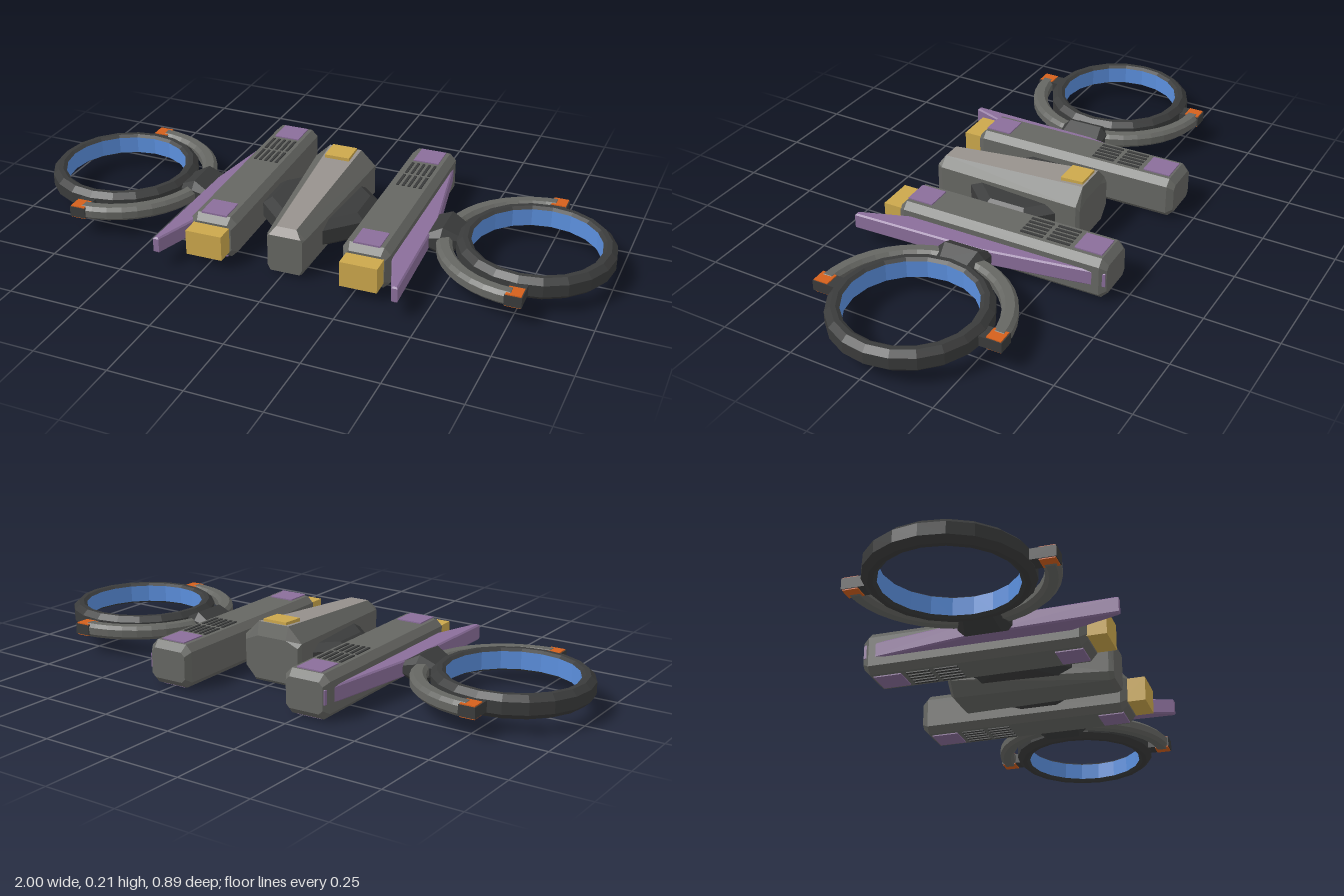
import * as THREE from 'three';

const mat = (name, color) => {
  const m = new THREE.MeshStandardMaterial({ color });
  m.name = name;
  return m;
};

// Faceted copy of a geometry, optionally mirrored across x
function facet(geo, mirror = false) {
  const g = geo.index ? geo.toNonIndexed() : geo.clone();
  if (mirror) {
    const p = g.attributes.position;
    const a = new THREE.Vector3(), b = new THREE.Vector3();
    g.scale(-1, 1, 1);
    for (let i = 0; i < p.count; i += 3) {
      a.fromBufferAttribute(p, i + 1);
      b.fromBufferAttribute(p, i + 2);
      p.setXYZ(i + 1, b.x, b.y, b.z);
      p.setXYZ(i + 2, a.x, a.y, a.z);
    }
  }
  g.computeVertexNormals();
  return g;
}

// Loft through sections { z, pts } from front to back; pts run counter-clockwise seen from +z
function loft(sections) {
  const pos = [], idx = [], n = sections[0].pts.length, last = (sections.length - 1) * n;
  sections.forEach(s => s.pts.forEach(([x, y]) => pos.push(x, y, s.z)));
  for (let i = 0; i < sections.length - 1; i++) {
    for (let j = 0; j < n; j++) {
      const k = (j + 1) % n, a = i * n + j, b = i * n + k;
      idx.push(a, a + n, b, b, a + n, b + n);
    }
  }
  for (let j = 1; j < n - 1; j++) idx.push(0, j, j + 1, last, last + j + 1, last + j);
  const g = new THREE.BufferGeometry();
  g.setAttribute('position', new THREE.Float32BufferAttribute(pos, 3));
  g.setIndex(idx);
  return g;
}

// Octagon with half sizes w, h and corner cut c
const octagon = (w, h, c) => [
  [w, -h + c], [w, h - c], [w - c, h], [-w + c, h],
  [-w, h - c], [-w, -h + c], [-w + c, -h], [w - c, -h]];

function chamferBox(w, h, d, c) {
  const big = octagon(w / 2, h / 2, c), small = octagon(w / 2 - c * 0.6, h / 2 - c, c * 0.6);
  return loft([
    { z: d / 2, pts: small }, { z: d / 2 - c, pts: big },
    { z: -d / 2 + c, pts: big }, { z: -d / 2, pts: small }]);
}

// Flat outline in (x, z) with bevelled edges, filling height h and centred on y = 0
function slab(shape, h, bevel, segments) {
  const g = new THREE.ExtrudeGeometry(shape, {
    depth: h - 2 * bevel, bevelThickness: bevel, bevelSize: bevel,
    bevelOffset: -bevel, bevelSegments: 1, curveSegments: segments });
  return g.translate(0, 0, -h / 2 + bevel).rotateX(Math.PI / 2);
}

export function createModel() {
  const grey = mat('hull grey', 0x656662);
  const pale = mat('pale grey', 0x96918c);
  const dark = mat('dark grey', 0x3a3b3b);
  const purple = mat('purple', 0x8a6e9a);
  const gold = mat('gold', 0xcba74c);
  const orange = mat('orange', 0xd4601c);
  const blue = mat('blue', 0x5b8fdd);

  const model = new THREE.Group();
  model.name = 'spacecraft';
  const add = (name, geo, material, x = 0, y = 0, z = 0, parent = model) => {
    const m = new THREE.Mesh(geo, material);
    m.name = name;
    m.position.set(x, y, z);
    parent.add(m);
    return m;
  };
  const box = (w, h, d) => new THREE.BoxGeometry(w, h, d);

  // Central hull: half width and height of the bottom, lower side, upper side and top
  const hullSection = (z, bw, by, lw, ly, uw, uy, tw, ty) => ({
    z, pts: [[bw, by], [lw, ly], [uw, uy], [tw, ty], [-tw, ty], [-uw, uy], [-lw, ly], [-bw, by]] });
  const hull = facet(loft([
    hullSection(0.325, 0.05, 0.01, 0.06, 0.03, 0.06, 0.13, 0.055, 0.14),
    hullSection(0.308, 0.052, 0.004, 0.065, 0.03, 0.066, 0.135, 0.035, 0.166),
    hullSection(-0.225, 0.07, 0.004, 0.11, 0.05, 0.11, 0.155, 0.058, 0.206),
    hullSection(-0.237, 0.065, 0.015, 0.102, 0.053, 0.102, 0.14, 0.055, 0.16)]));
  // Top strip of the nose and roof is pale (quad 3 of the first two rings of 8 quads)
  hull.addGroup(0, 18, 0);
  hull.addGroup(18, 6, 1);
  hull.addGroup(24, 42, 0);
  hull.addGroup(66, 6, 1);
  hull.addGroup(72, hull.attributes.position.count - 72, 0);
  add('centralHull', hull, [grey, pale]);
  const roofPlate = add('roofPlate', box(0.088, 0.02, 0.08), gold, 0, 0.203, -0.178);
  roofPlate.rotation.x = 0.04;

  // Octagonal core joining the hull to both pods
  const coreProfile = [[0, -0.048], [0.165, -0.048], [0.197, -0.025], [0.197, 0.025], [0.165, 0.048], [0, 0.048]]
    .map(p => new THREE.Vector2(...p));
  add('core', facet(new THREE.LatheGeometry(coreProfile, 8, Math.PI / 8)), dark, 0, 0.081, 0.005);

  // Shared shapes for both sides
  const pod = facet(chamferBox(0.16, 0.146, 0.75, 0.022));
  const finShape = new THREE.Shape([[0.325, -0.44], [0.337, -0.44], [0.403, -0.03], [0.416, 0.43], [0.396, 0.43], [0.335, 0.25]]
    .map(p => new THREE.Vector2(...p)));
  const fin = slab(finShape, 0.056, 0.005, 1);

  const joint = loft([
    { z: 0.5, pts: octagon(0.06, 0.024, 0.012) },
    { z: 0.445, pts: octagon(0.085, 0.051, 0.025) },
    { z: 0.385, pts: octagon(0.08, 0.02, 0.01) }]).rotateY(Math.PI / 2);

  const arcShape = new THREE.Shape();
  arcShape.absarc(0, 0, 0.328, Math.PI / 2, Math.PI * 1.5, false);
  arcShape.absarc(0, 0, 0.276, Math.PI * 1.5, Math.PI / 2, true);
  const arc = slab(arcShape, 0.048, 0.012, 10);

  const ringProfile = [[0.21, -0.03], [0.222, -0.038], [0.238, -0.038], [0.257, -0.02],
    [0.257, 0.02], [0.238, 0.038], [0.222, 0.038], [0.21, 0.03]].map(p => new THREE.Vector2(...p));
  const ring = facet(new THREE.LatheGeometry(ringProfile, 20));
  const liningProfile = [new THREE.Vector2(0.21, 0.03), new THREE.Vector2(0.21, -0.03)];
  const lining = facet(new THREE.LatheGeometry(liningProfile, 20));

  for (const s of [1, -1]) {
    const side = new THREE.Group();
    side.name = s > 0 ? 'leftSide' : 'rightSide';
    model.add(side);
    const put = (name, geo, m, x, y, z) => add(name, geo, m, s * x, y, z, side);
    const mirror = s < 0;

    // Pod with front block, cover plates and vent slots above and below
    put('pod', pod, grey, 0.264, 0.077, -0.068);
    put('frontBlock', box(0.126, 0.087, 0.09), gold, 0.266, 0.077, 0.325);
    for (const y of [0.151, 0.003]) {
      put('rearCover', box(0.09, 0.006, 0.095), purple, 0.264, y, -0.367);
      put('frontCover', box(0.09, 0.006, 0.09), purple, 0.264, y, 0.243);
      for (const z of [-0.262, -0.167]) {
        for (let i = -2; i <= 2; i++) {
          put('ventSlot', box(0.009, 0.005, 0.08), dark, 0.264 + i * 0.02, y, z);
        }
      }
    }

    // Swept fin and joint on the outside of the pod
    put('fin', facet(fin, mirror), purple, 0, 0.081, 0);
    put('joint', facet(joint, mirror), dark, 0, 0.081, 0.008);

    // Outer ring with its blue lining and the arm around it
    put('ring', ring, dark, 0.743, 0.085, 0.008);
    put('ringLining', lining, blue, 0.743, 0.085, 0.008).material.side = THREE.DoubleSide;
    put('arm', facet(arc, mirror), grey, 0.75, 0.084, 0.01);

    // Arm end clamps with orange plates
    for (const e of [1, -1]) {
      put('clamp', box(0.056, 0.036, 0.09), dark, 0.75, 0.085, 0.01 + e * 0.285);
      for (const y of [0.104, 0.066]) {
        put('clampPlate', box(0.05, 0.005, 0.05), orange, 0.75, y, 0.01 + e * 0.302);
      }
    }
  }

  // Slight yaw of the whole craft
  model.rotation.y = 0.025;
  const root = new THREE.Group();
  root.name = 'model';
  root.add(model);
  return root;
}
